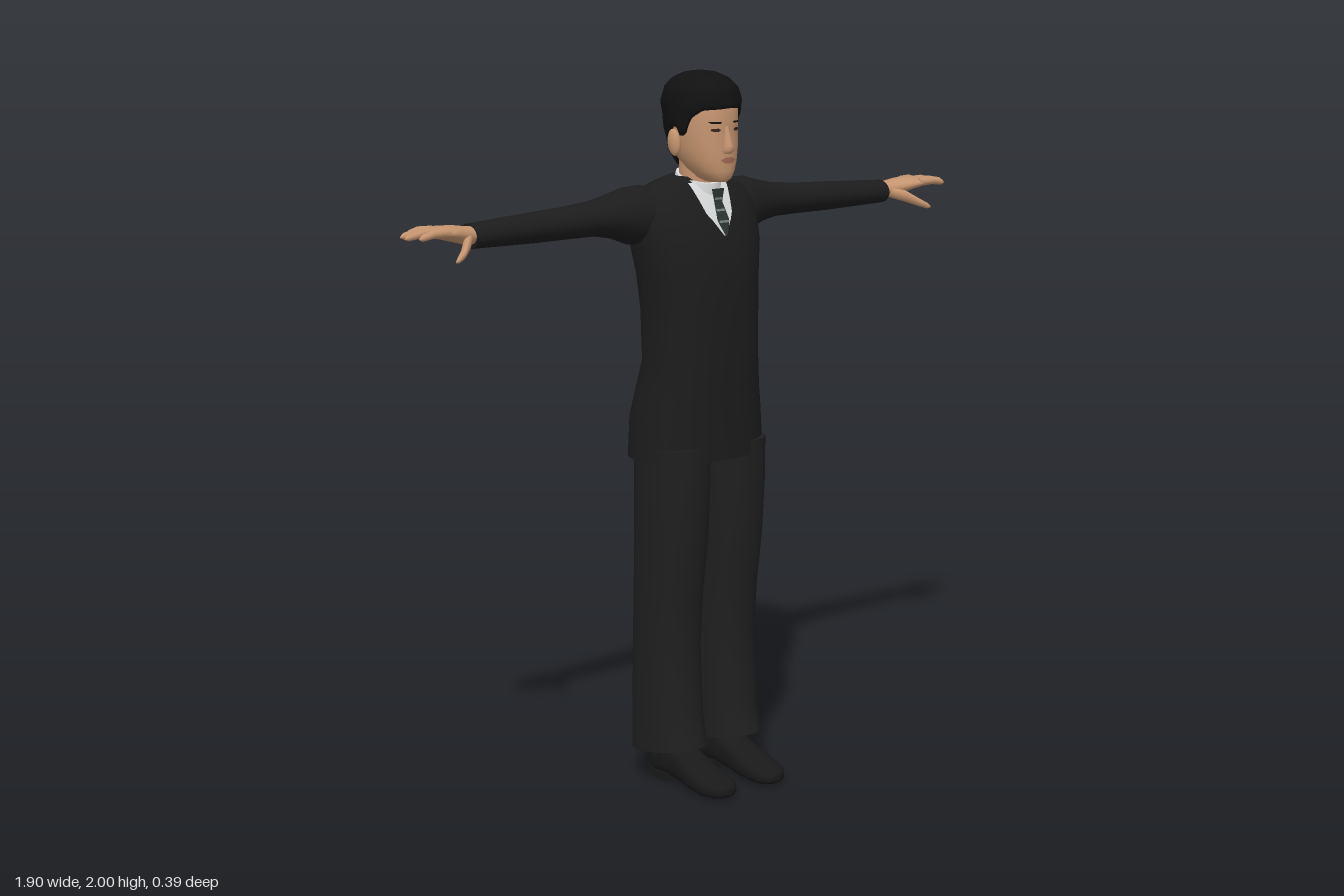
import * as THREE from 'three';

const mat = (name, color, side = THREE.FrontSide) => {
  const m = new THREE.MeshStandardMaterial({ color, side });
  m.name = name;
  return m;
};
const lerp = THREE.MathUtils.lerp;
const spow = (v, p) => Math.sign(v) * Math.pow(Math.abs(v), p);

function build(pos, idx) {
  const g = new THREE.BufferGeometry();
  g.setAttribute('position', new THREE.Float32BufferAttribute(pos, 3));
  g.setIndex(idx);
  g.computeVertexNormals();
  return g;
}

// Rounded cross-sections [t, centreA, radiusA, centreB, radiusB] skinned along an axis, ends capped.
function loft(axis, secs, n = 2, seg = 28) {
  const pos = [], idx = [];
  const put = (t, a, b) => pos.push(...(axis === 'x' ? [t, a, b] : axis === 'y' ? [a, t, b] : [a, b, t]));
  const tri = (a, b, c) => (axis === 'y' ? idx.push(a, c, b) : idx.push(a, b, c));
  const ring = ([t, ca, ra, cb, rb]) => {
    for (let i = 0; i < seg; i++) {
      const th = (i / seg) * Math.PI * 2;
      put(t, ca + ra * spow(Math.cos(th), 2 / n), cb + rb * spow(Math.sin(th), 2 / n));
    }
  };
  secs.forEach(ring);
  for (let r = 0; r < secs.length - 1; r++) for (let i = 0; i < seg; i++) {
    const a = r * seg + i, b = r * seg + (i + 1) % seg;
    tri(a, b, b + seg);
    tri(a, b + seg, a + seg);
  }
  [secs[0], secs[secs.length - 1]].forEach((s, end) => {
    const base = pos.length / 3;
    ring(s);
    put(s[0], s[1], s[3]);
    for (let i = 0; i < seg; i++) {
      const a = base + i, b = base + (i + 1) % seg;
      end ? tri(a, b, base + seg) : tri(b, a, base + seg);
    }
  });
  return build(pos, idx);
}

// Upright body rows [y, halfWidth, zFront, zBack] as loft sections.
const upright = (rows, cx = 0) => rows.map(([y, w, f, b]) => [y, cx, w, (f + b) / 2, (f - b) / 2]);

function rowAt(rows, y) {
  let i = 0;
  while (i < rows.length - 2 && y > rows[i + 1][0]) i++;
  const k = THREE.MathUtils.clamp((y - rows[i][0]) / (rows[i + 1][0] - rows[i][0]), 0, 1);
  return rows[i].map((v, j) => lerp(v, rows[i + 1][j], k));
}

// Thin patch laid on the front of an upright body; outline rows are [y, xMin, xMax].
function patch(rows, n, outline, lift, nx = 12, ny = 14) {
  const pos = [], idx = [], y0 = outline[0][0], y1 = outline[outline.length - 1][0];
  for (let j = 0; j <= ny; j++) {
    const [y, a, b] = rowAt(outline, lerp(y0, y1, j / ny));
    const [, w, f, bk] = rowAt(rows, y);
    for (let i = 0; i <= nx; i++) {
      const x = lerp(a, b, i / nx);
      const d = Math.pow(Math.max(0, 1 - Math.pow(Math.abs(x) / w, n)), 1 / n);
      pos.push(x, y, (f + bk) / 2 + (f - bk) / 2 * d + lift);
      if (i < nx && j < ny) {
        const p = j * (nx + 1) + i, q = p + nx + 1;
        idx.push(p, p + 1, q + 1, p, q + 1, q);
      }
    }
  }
  return build(pos, idx);
}

function mirrored(geo) {
  const g = geo.clone().scale(-1, 1, 1), ix = g.index;
  for (let i = 0; i < ix.count; i += 3) {
    const t = ix.getX(i);
    ix.setX(i, ix.getX(i + 1));
    ix.setX(i + 1, t);
  }
  g.computeVertexNormals();
  return g;
}

const TORSO = [[0.94, 0.2, 0.09, -0.195], [1.05, 0.193, 0.09, -0.195], [1.13, 0.18, 0.092, -0.178],
  [1.21, 0.17, 0.094, -0.155], [1.35, 0.17, 0.095, -0.163], [1.45, 0.177, 0.091, -0.175],
  [1.53, 0.192, 0.08, -0.184], [1.6, 0.197, 0.057, -0.185], [1.65, 0.187, 0.03, -0.178],
  [1.68, 0.16, 0.012, -0.16], [1.7, 0.115, 0, -0.14], [1.715, 0.07, -0.01, -0.115]];

const HEAD = [[1.705, 0.025, 0.072, 0.0], [1.715, 0.04, 0.082, -0.03], [1.735, 0.056, 0.086, -0.06],
  [1.765, 0.071, 0.086, -0.09], [1.8, 0.08, 0.085, -0.11], [1.85, 0.085, 0.082, -0.125],
  [1.9, 0.085, 0.083, -0.13], [1.94, 0.075, 0.068, -0.11], [1.965, 0.045, 0.03, -0.08]];

const HAIR = [[1.73, 0.06, 0.03, -0.08], [1.78, 0.082, 0.06, -0.12], [1.85, 0.096, 0.09, -0.138],
  [1.92, 0.101, 0.094, -0.148], [1.955, 0.094, 0.084, -0.136], [1.98, 0.073, 0.055, -0.112],
  [1.995, 0.042, 0.015, -0.075], [2.0, 0.004, -0.028, -0.036]];

// Lower edge of the hair by angle from the front: fringe, sideburn, ear, nape.
const HAIRLINE = [[0, 1.905], [0.75, 1.9], [1.1, 1.875], [1.25, 1.83], [1.42, 1.83],
  [1.5, 1.855], [1.8, 1.85], [1.95, 1.78], [2.4, 1.745], [3.15, 1.735]];

function hairGeometry(seg = 72, steps = 20) {
  const pos = [], idx = [];
  for (let j = 0; j <= steps; j++) for (let i = 0; i < seg; i++) {
    const th = (i / seg) * Math.PI * 2;
    const edge = rowAt(HAIRLINE, Math.abs(Math.atan2(Math.cos(th), Math.sin(th))))[1];
    const s = Math.max(0, j - 1) / (steps - 1);
    const y = lerp(edge, 2, 1 - (1 - s) * (1 - s));
    const [, w, f, b] = rowAt(HAIR, y);
    // first ring tucks under the edge; the rest carry soft waves
    const k = j === 0 ? 0.8 : 1 + 0.018 * Math.sin(9 * th + y * 60) * Math.sin(4 * th - y * 45);
    pos.push(w * k * Math.cos(th), y, (f + b) / 2 + (f - b) / 2 * k * Math.sin(th));
    if (j < steps) {
      const a = j * seg + i, c = j * seg + (i + 1) % seg;
      idx.push(a, c + seg, c, a, a + seg, c + seg);
    }
  }
  return build(pos, idx);
}

export function createModel() {
  const model = new THREE.Group();
  model.name = 'suitedMan';
  const suit = mat('suit black', 0x1c1c1c), trouser = mat('trouser black', 0x1f1f1f);
  const shoe = mat('shoe black', 0x191919), skin = mat('skin', 0xc4946f);
  const hair = mat('hair black', 0x111111, THREE.DoubleSide), shirt = mat('shirt white', 0xd9dadb);
  const tieMat = mat('tie dark green', 0x2b3532), stripe = mat('tie stripe grey', 0x77807c);
  const lip = mat('lips', 0xa06a55), eye = mat('eyes dark', 0x33241c);

  const add = (name, geo, m) => {
    const mesh = new THREE.Mesh(geo, m);
    mesh.name = name;
    model.add(mesh);
  };
  const pair = (name, geo, m) => {
    add('left' + name, geo, m);
    add('right' + name, mirrored(geo), m);
  };

  // Jacket and sleeves
  add('jacket', loft('y', upright(TORSO), 2.4, 48), suit);
  pair('Sleeve', loft('x', [[0.09, 1.6, 0.075, -0.09, 0.07], [0.16, 1.612, 0.082, -0.092, 0.086],
    [0.21, 1.614, 0.077, -0.095, 0.078], [0.26, 1.617, 0.06, -0.098, 0.067], [0.32, 1.616, 0.048, -0.098, 0.058],
    [0.42, 1.612, 0.043, -0.097, 0.052], [0.52, 1.61, 0.041, -0.094, 0.046], [0.73, 1.607, 0.033, -0.087, 0.042]]), suit);

  // Shirt, collar and tie
  add('shirtFront', patch(TORSO, 2.4, [[1.56, -0.003, 0.003], [1.62, -0.045, 0.045], [1.7, -0.066, 0.066]], 0.005), shirt);
  const collar = loft('y', upright([[1.63, 0.068, 0.03, -0.11], [1.69, 0.066, 0.026, -0.108], [1.715, 0.061, 0.022, -0.1]]));
  const cp = collar.attributes.position;
  for (let i = 0; i < cp.count; i++) cp.setY(i, cp.getY(i) - 0.3 * (cp.getZ(i) + 0.04));
  collar.computeVertexNormals();
  add('collar', collar, shirt);
  const tieRows = [[1.56, -0.003, 0.003], [1.6, -0.021, 0.021], [1.65, -0.014, 0.014], [1.685, -0.022, 0.022]];
  const tieBody = TORSO.map(([y, w, f, b]) => [y, w, y > 1.63 ? Math.max(f, 0.034) : f, b]);
  add('tie', patch(tieBody, 2.4, tieRows, 0.011), tieMat);
  for (const y of [1.595, 1.625, 1.655]) {
    const w = rowAt(tieRows, y)[2] - 0.001;
    add('tieStripe', patch(tieBody, 2.4, [[y, -w, w], [y + 0.006, -w, w]], 0.014, 4, 2), stripe);
  }

  // Trousers, ankles and shoes
  const leg = loft('y', upright([[0.1, 0.085, 0.075, -0.17], [0.2, 0.084, 0.054, -0.167], [0.4, 0.083, 0.042, -0.162],
    [0.55, 0.084, 0.052, -0.157], [0.7, 0.088, 0.072, -0.152], [0.85, 0.092, 0.08, -0.148], [0.98, 0.092, 0.082, -0.148]], 0.1), 2.3, 32);
  const lp = leg.attributes.position;
  for (let i = 0; i < lp.count; i++) if (lp.getY(i) < 0.15) lp.setY(i, 0.107 + 0.16 * lp.getZ(i)); // slanted hem
  leg.computeVertexNormals();
  pair('TrouserLeg', leg, trouser);
  pair('Ankle', loft('y', upright([[0.05, 0.045, 0.04, -0.1], [0.12, 0.044, 0.025, -0.1], [0.2, 0.042, 0.015, -0.1]], 0.09)), shoe);
  pair('Shoe', loft('z', [[-0.107, 0.088, 0.028, 0.05, 0.035], [-0.095, 0.088, 0.042, 0.055, 0.045], [-0.03, 0.088, 0.045, 0.065, 0.052],
    [0.03, 0.089, 0.049, 0.056, 0.047], [0.08, 0.09, 0.054, 0.041, 0.039], [0.13, 0.091, 0.056, 0.031, 0.031],
    [0.17, 0.09, 0.049, 0.027, 0.025], [0.192, 0.089, 0.033, 0.025, 0.018], [0.2, 0.088, 0.014, 0.024, 0.009]], 2.6), shoe);
  pair('ShoeHeel', new THREE.BoxGeometry(0.076, 0.024, 0.075).translate(0.088, 0.012, -0.064), shoe);

  // Hands
  pair('Palm', loft('x', [[0.71, 1.608, 0.025, -0.085, 0.034], [0.75, 1.612, 0.024, -0.083, 0.034], [0.79, 1.621, 0.022, -0.073, 0.045],
    [0.835, 1.628, 0.017, -0.067, 0.053], [0.86, 1.63, 0.01, -0.066, 0.049]]), skin);
  for (const [name, z, zTip, tip] of [['LittleFinger', -0.106, -0.113, 0.905], ['RingFinger', -0.08, -0.083, 0.94],
    ['MiddleFinger', -0.053, -0.051, 0.948], ['IndexFinger', -0.027, -0.02, 0.925]]) {
    pair(name, loft('x', [[0.83, 1.63, 0.012, z, 0.012], [lerp(0.83, tip, 0.55), 1.632, 0.011, lerp(z, zTip, 0.6), 0.011],
      [tip - 0.01, 1.626, 0.009, zTip, 0.009], [tip, 1.624, 0.003, zTip, 0.003]], 2, 12), skin);
  }
  pair('Thumb', loft('x', [[0.74, 1.606, 0.014, -0.068, 0.016], [0.775, 1.595, 0.017, -0.03, 0.018],
    [0.805, 1.577, 0.012, -0.003, 0.013], [0.828, 1.566, 0.009, 0.01, 0.008], [0.838, 1.562, 0.003, 0.014, 0.003]], 2, 14), skin);

  // Head, neck and ears
  add('neck', loft('y', upright([[1.64, 0.058, 0.016, -0.095], [1.7, 0.054, 0.014, -0.09], [1.78, 0.056, 0.02, -0.09]])), skin);
  add('head', loft('y', upright(HEAD), 2.2, 40), skin);
  add('nose', loft('y', [[1.783, 0, 0.013, 0.085, 0.01], [1.793, 0, 0.018, 0.086, 0.019], [1.805, 0, 0.013, 0.085, 0.017],
    [1.835, 0, 0.009, 0.081, 0.011], [1.856, 0, 0.007, 0.078, 0.006]], 2, 16), skin);
  pair('Ear', new THREE.SphereGeometry(1, 16, 12).scale(0.014, 0.037, 0.023).rotateX(-0.15).translate(0.092, 0, 0).translate(0, 1.81, -0.03), skin);
  add('hair', hairGeometry(), hair);

  // Painted face details
  pair('Eyebrow', patch(HEAD, 2.2, [[1.864, 0.022, 0.046], [1.869, 0.019, 0.054]], 0.003, 6, 2), hair);
  pair('Eye', patch(HEAD, 2.2, [[1.842, 0.03, 0.04], [1.846, 0.021, 0.049], [1.851, 0.028, 0.045]], 0.003, 6, 4), eye);
  add('lips', patch(HEAD, 2.2, [[1.757, -0.012, 0.012], [1.766, -0.027, 0.027], [1.773, -0.011, 0.011]], 0.004, 8, 6), lip);

  return model;
}
